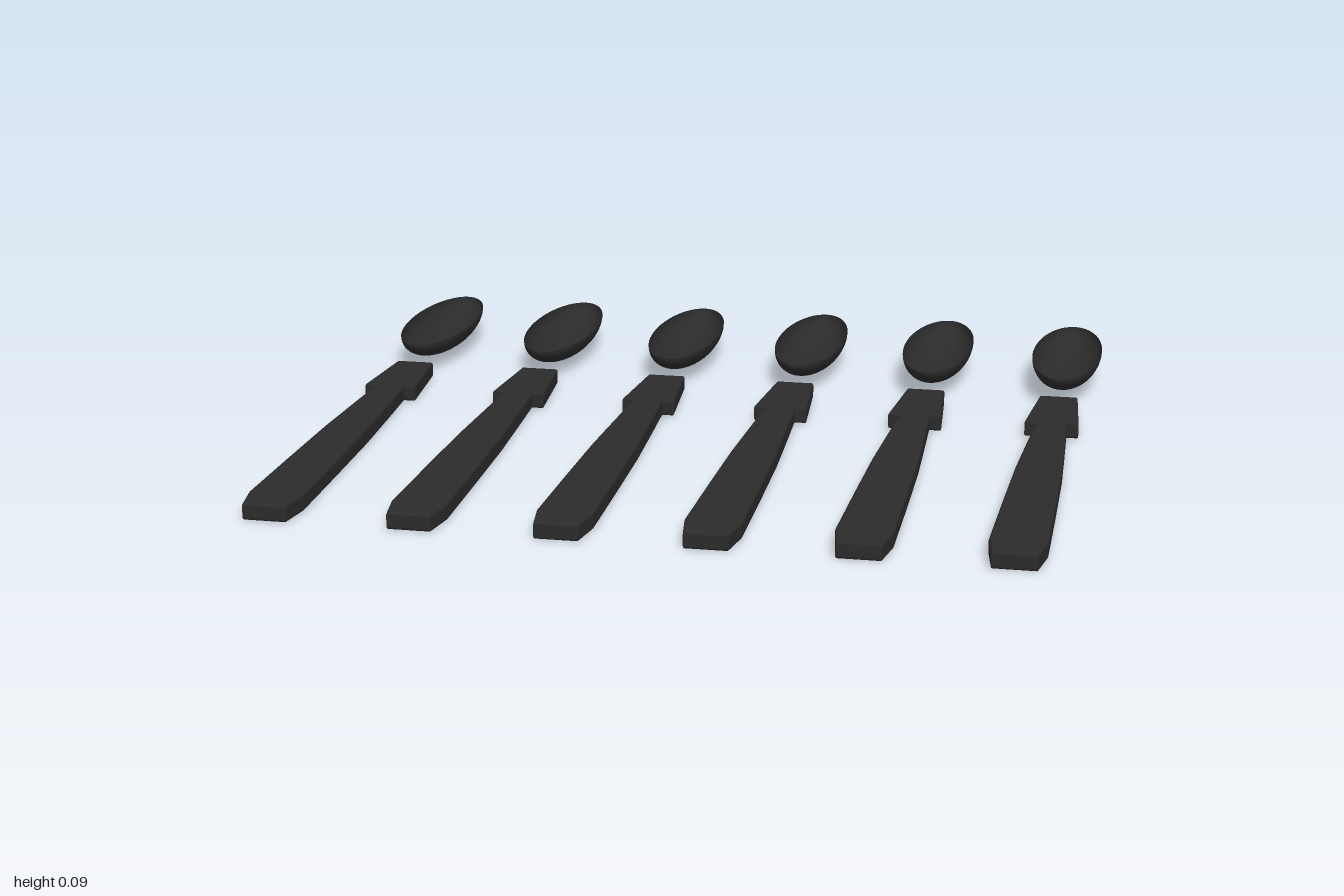
import * as THREE from 'three';

export function createModel() {
  const model = new THREE.Group();
  model.name = 'spoonSet';
  const black = new THREE.MeshStandardMaterial({ color: 0x2b2b2b });
  const bowlMaterial = new THREE.MeshStandardMaterial({ color: 0x2b2b2b, side: THREE.DoubleSide });

  // Handle outline: [half width, z], from the collar to the butt end
  const side = [
    [0.051, -0.362], [0.071, -0.12], [0.04, -0.12], [0.049, 0.06],
    [0.059, 0.28], [0.065, 0.55], [0.07, 0.83], [0.055, 0.925],
  ];
  const outline = [...side, ...side.map(([x, z]) => [-x, z]).reverse()];
  const bevel = 0.007;
  const handleGeometry = new THREE.ExtrudeGeometry(
    new THREE.Shape(outline.map(([x, z]) => new THREE.Vector2(x, z))),
    { depth: 0.03, bevelThickness: bevel, bevelSize: bevel, bevelOffset: -bevel, bevelSegments: 3 }
  );
  handleGeometry.rotateX(Math.PI / 2).translate(0, 0.037, 0);

  // Bowl: open lower half of an ellipsoid, hollow side up
  const bowlGeometry = new THREE.SphereGeometry(1, 48, 16, 0, Math.PI * 2, Math.PI / 2, Math.PI / 2);
  bowlGeometry.scale(0.095, 0.074, 0.277).translate(0, 0.087, -0.649);

  // Six spoons side by side
  for (let i = 0; i < 6; i++) {
    const spoon = new THREE.Group();
    spoon.name = `spoon${i + 1}`;
    spoon.position.x = (i - 2.5) * 0.362;
    const handle = new THREE.Mesh(handleGeometry, black);
    handle.name = 'handle';
    const bowl = new THREE.Mesh(bowlGeometry, bowlMaterial);
    bowl.name = 'bowl';
    spoon.add(handle, bowl);
    model.add(spoon);
  }
  return model;
}
